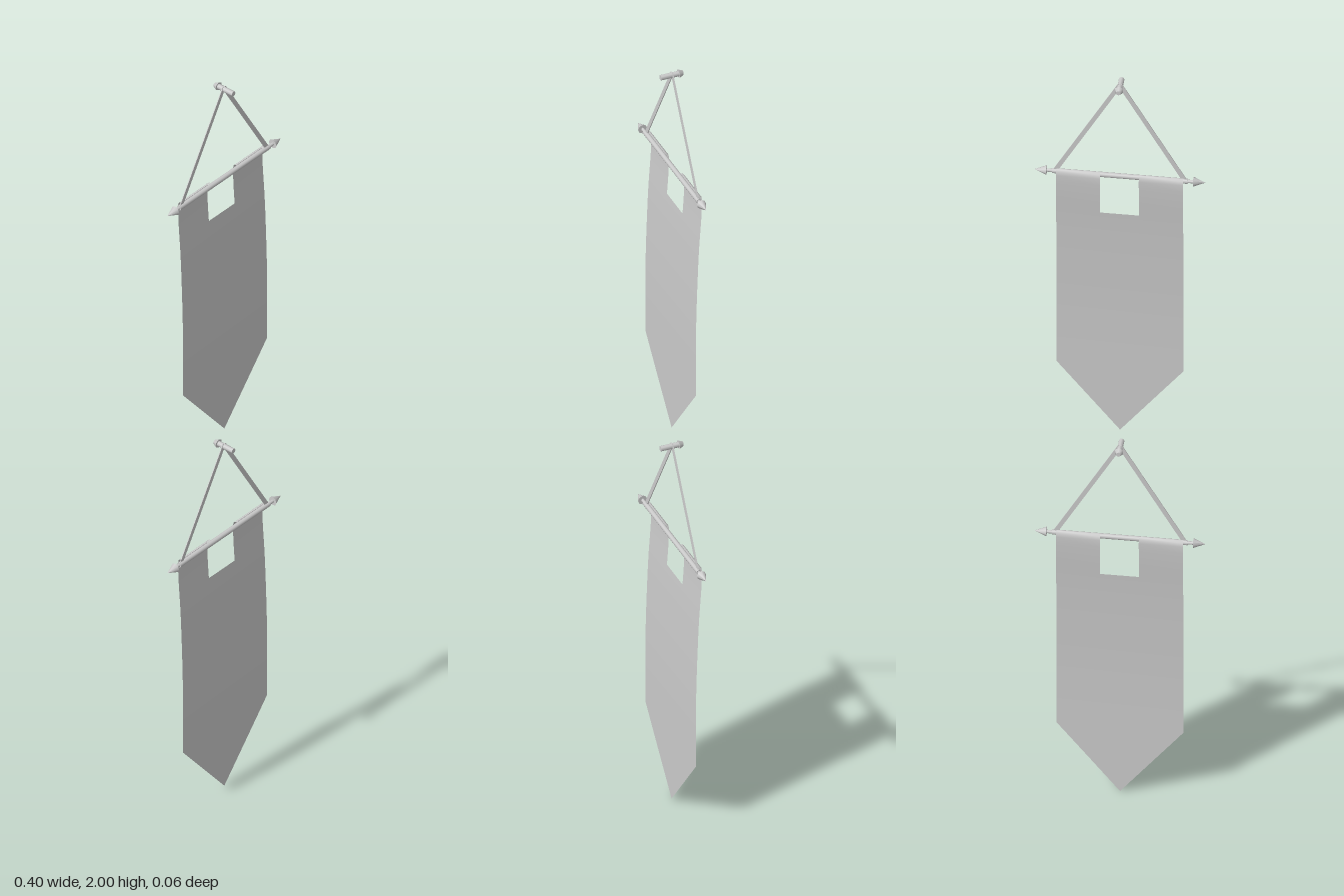
import * as THREE from 'three';

const ROD_Y = 0.717, ROD_Z = -0.001, HALF = 0.147, NOTCH = 0.045;
const NOTCH_Y = 0.614, SHOULDER_Y = 0.178;

const grey = new THREE.MeshStandardMaterial({ color: 0xcccccc });
const cloth = new THREE.MeshStandardMaterial({ color: 0xcccccc, side: THREE.DoubleSide });

function add(parent, name, geometry, material = grey) {
  const mesh = new THREE.Mesh(geometry, material);
  mesh.name = name;
  parent.add(mesh);
  return mesh;
}

// Gentle billow of the cloth, z as a function of height
const billow = new THREE.SplineCurve([[0, 0], [0.178, 0.002], [0.36, 0.002], [0.55, -0.004], [0.66, -0.011], [0.71, -0.013]]
  .map(([y, z]) => new THREE.Vector2(y, z)));
function billowZ(y) {
  let lo = 0, hi = 1;
  for (let i = 0; i < 20; i++) {
    const mid = (lo + hi) / 2;
    if (billow.getPoint(mid).x < y) lo = mid; else hi = mid;
  }
  return billow.getPoint(lo).y;
}

// Sheet made of rows [y, z, left x, right x], from top to bottom
function sheet(rows) {
  const g = new THREE.PlaneGeometry(1, 1, 1, rows.length - 1);
  rows.forEach(([y, z, x0, x1], j) => {
    g.attributes.position.setXYZ(2 * j, x0, y, z);
    g.attributes.position.setXYZ(2 * j + 1, x1, y, z);
  });
  g.computeVertexNormals();
  return g;
}

function rowsBetween(top, bottom, n, edges) {
  return Array.from({ length: n + 1 }, (_, i) => {
    const y = top + (bottom - top) * i / n;
    return [y, billowZ(y), ...edges(y)];
  });
}

function createBanner() {
  const banner = new THREE.Group();

  // Cloth body, pointed tail and the two straps folded over the rod
  add(banner, 'clothBody', sheet(rowsBetween(NOTCH_Y, SHOULDER_Y, 14, () => [-HALF, HALF])), cloth);
  add(banner, 'clothTail', sheet(rowsBetween(SHOULDER_Y, 0, 6, y => [-HALF * y / SHOULDER_Y, HALF * y / SHOULDER_Y])), cloth);
  for (const [name, x0, x1] of [['leftStrap', NOTCH, HALF], ['rightStrap', -HALF, -NOTCH]]) {
    const fold = [[0.725, -0.003], [0.725, -0.007], [0.721, -0.011]].map(p => [...p, x0, x1]);
    add(banner, name, sheet([...fold, ...rowsBetween(0.712, NOTCH_Y, 5, () => [x0, x1])]), cloth);
  }

  // Cross rod with a neck and pointed finial at each end
  const rod = add(banner, 'rod', new THREE.CylinderGeometry(0.0062, 0.0062, 0.314, 8));
  rod.rotation.z = Math.PI / 2;
  rod.position.set(0, ROD_Y, ROD_Z);
  for (const s of [1, -1]) {
    const side = s > 0 ? 'left' : 'right';
    const neck = add(banner, side + 'Neck', new THREE.CylinderGeometry(0.004, 0.004, 0.02, 8));
    neck.rotation.z = Math.PI / 2;
    neck.position.set(s * 0.164, ROD_Y, ROD_Z);
    const finial = add(banner, side + 'Finial', new THREE.ConeGeometry(0.0115, 0.028, 8));
    finial.rotation.z = -s * Math.PI / 2;
    finial.position.set(s * 0.184, ROD_Y, ROD_Z);

    // Hanging cord, a thin flat band from rod end to peg
    const from = new THREE.Vector2(s * 0.151, ROD_Y), to = new THREE.Vector2(0, 0.974);
    const dir = to.clone().sub(from);
    const cord = add(banner, side + 'Cord', new THREE.BoxGeometry(0.0105, dir.length(), 0.002));
    cord.rotation.z = dir.angle() - Math.PI / 2;
    cord.position.set((from.x + to.x) / 2, (from.y + to.y) / 2, ROD_Z);
  }

  // Wall peg with a tapered six-sided head
  const peg = new THREE.Group();
  peg.name = 'peg';
  peg.rotation.x = Math.PI / 2;
  peg.position.y = 0.969;
  add(peg, 'pegShaft', new THREE.CylinderGeometry(0.0065, 0.0065, 0.048, 8)).position.y = 0.004;
  add(peg, 'pegHead', new THREE.CylinderGeometry(0.011, 0.006, 0.011, 6)).position.y = -0.0225;
  banner.add(peg);
  return banner;
}

export function createModel() {
  const model = new THREE.Group();
  ['lowerBanner', 'upperBanner'].forEach((name, i) => {
    const banner = createBanner();
    banner.name = name;
    banner.position.y = i * 1.02;
    model.add(banner);
  });
  return model;
}
